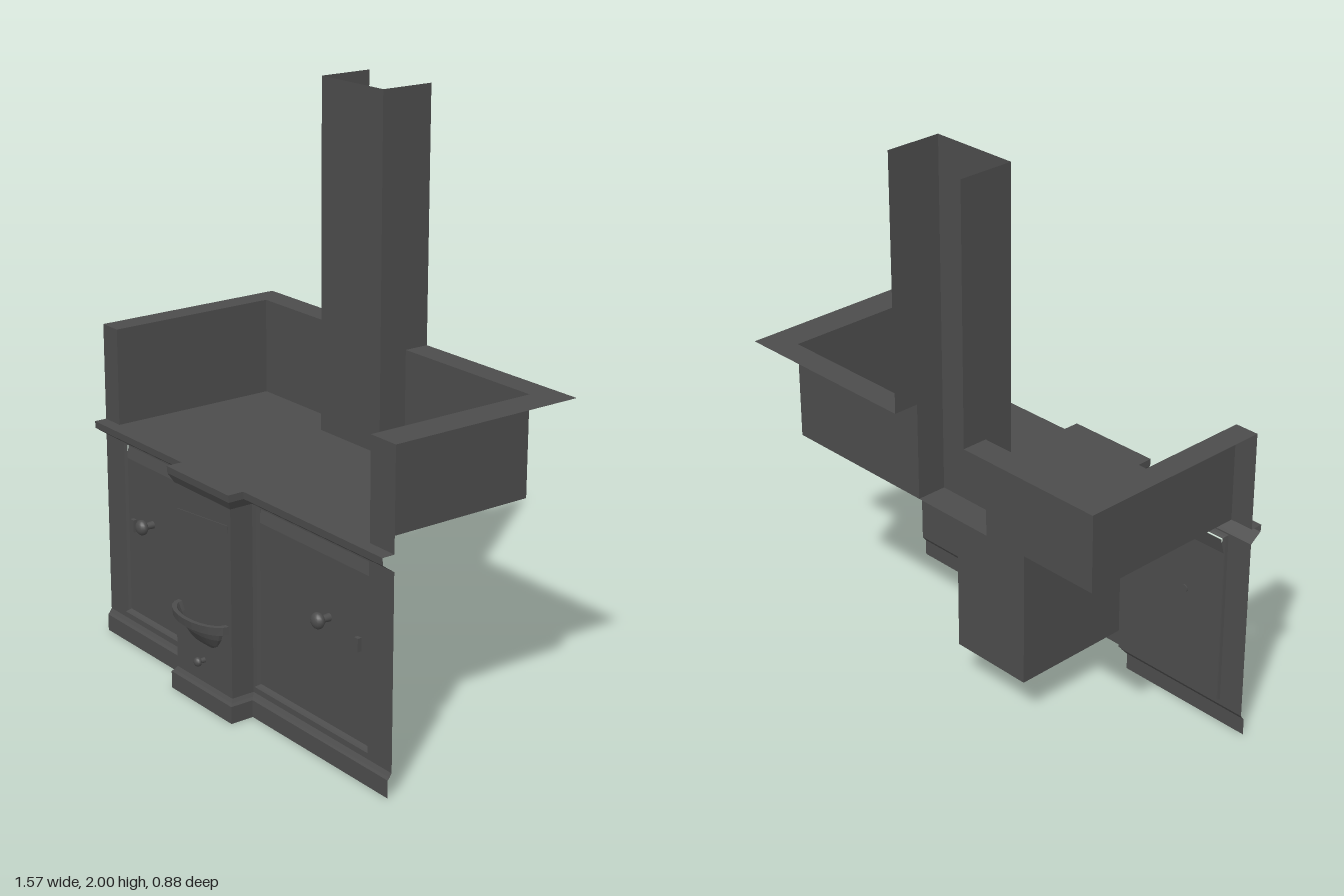
import * as THREE from 'three';

const iron = new THREE.MeshStandardMaterial({ color: 0x4c4c4c, side: THREE.DoubleSide });
iron.name = 'dark iron';

// Flat-shaded surface through rows of points [x, y, z]
function loft(rows) {
  const pos = [];
  for (let r = 0; r + 1 < rows.length; r++) {
    for (let i = 0; i + 1 < rows[r].length; i++) {
      const a = rows[r][i], b = rows[r][i + 1], c = rows[r + 1][i + 1], d = rows[r + 1][i];
      pos.push(...a, ...b, ...c, ...a, ...c, ...d);
    }
  }
  const g = new THREE.BufferGeometry();
  g.setAttribute('position', new THREE.Float32BufferAttribute(pos, 3));
  g.computeVertexNormals();
  return g;
}

const L = -0.24, R = 0.075, MID = (L + R) / 2;   // chimney and column sides
const W = 0.785, IL = -0.7, IR = 0.67;           // outer half width, tray walls
const FZ = 0.275, CZ = 0.36, BZ = -0.35, RZ = -0.44, HZ = -0.243;
const TOP = 0.79, RIM = 1.13;

export function createModel() {
  const group = new THREE.Group();
  const add = (name, geo, x = 0, y = 0, z = 0) => {
    const m = new THREE.Mesh(geo, iron);
    m.name = name;
    m.position.set(x, y, z);
    group.add(m);
    return m;
  };

  // Horizontal outline of the front, stepping out around the column
  const plan = (y, side, main, centre) => [
    [-W, y, main], [L - side, y, main], [L - side, y, centre],
    [R + side, y, centre], [R + side, y, main], [W, y, main],
  ];

  // Plinth, column and flared ledge
  add('plinth', loft([
    plan(0, 0.015, 0.29, 0.375), plan(0.06, 0.015, 0.29, 0.375),
    plan(0.068, 0.008, 0.283, 0.368), plan(0.08, 0, FZ, CZ),
  ]));
  const column = (y) => [[L, y, FZ], [L, y, CZ], [R, y, CZ], [R, y, FZ]];
  add('column', loft([column(0.08), column(0.735)]));
  add('ledge', loft([
    plan(0.735, 0, FZ, CZ), plan(0.765, 0.015, 0.318, 0.376),
    plan(TOP, 0.015, 0.32, 0.378), plan(TOP, 0.015, FZ, FZ),
  ]));

  // Door frames, bevelled reveals and recessed doors
  const doors = [
    { name: 'right', x0: -W, x1: L, d0: -0.692, d1: -0.246, knob: -0.535, key: -0.645 },
    { name: 'left', x0: R, x1: W, d0: 0.081, d1: 0.668, knob: 0.45, key: 0.6 },
  ];
  const b0 = 0.1, b1 = 0.73;
  const rect = (x0, x1, y0, y1) => [[x0, y0], [x1, y0], [x1, y1], [x0, y1], [x0, y0]];
  for (const d of doors) {
    const frame = new THREE.Shape(rect(d.x0, d.x1, 0.08, 0.735).map(p => new THREE.Vector2(...p)));
    frame.holes.push(new THREE.Path(rect(d.d0, d.d1, b0, b1).map(p => new THREE.Vector2(...p))));
    add(d.name + 'DoorFrame', new THREE.ShapeGeometry(frame), 0, 0, FZ);

    const ring = (inset, z) => rect(d.d0 + inset, d.d1 - inset, b0 + inset, b1 - inset).map(p => [...p, z]);
    add(d.name + 'DoorReveal', loft([ring(0, FZ), ring(0.003, 0.265), ring(0.008, 0.255)]));

    const row = (y, z) => [[d.d0, y, z], [d.d1, y, z]];
    add(d.name + 'Door', loft([row(b0, 0.255), row(0.67, 0.255), row(0.728, 0.24)]));

    // Round knob on a stem, with a small keyhole plate
    const stem = add(d.name + 'KnobStem', new THREE.CylinderGeometry(0.01, 0.014, 0.05, 12), d.knob, 0.47, 0.275);
    stem.rotation.x = Math.PI / 2;
    const knob = add(d.name + 'Knob', new THREE.SphereGeometry(0.027, 16, 10), d.knob, 0.47, 0.3);
    knob.scale.z = 0.75;
    add(d.name + 'KeyPlate', new THREE.BoxGeometry(0.018, 0.045, 0.014), d.key, 0.435, 0.262);
  }

  // Half-round basin with a thick rim on the column
  const arc = (y, rx, rz) => Array.from({ length: 13 }, (_, i) => {
    const a = Math.PI * (1 - i / 12);
    return [MID + rx * Math.cos(a), y, CZ + rz * Math.sin(a)];
  });
  add('basinRim', loft([
    arc(0.3, 0.112, 0.05), arc(0.3, 0.143, 0.074), arc(0.328, 0.143, 0.079),
    arc(0.328, 0.125, 0.064), arc(0.3, 0.11, 0.05),
  ]));
  add('basinBowl', loft([
    arc(0.3, 0.112, 0.05), arc(0.265, 0.1, 0.036), arc(0.235, 0.078, 0.016),
    arc(0.22, 0.05, 0.003), arc(0.22, 0, 0),
  ]));
  const tapStem = add('tapStem', new THREE.CylinderGeometry(0.007, 0.01, 0.03, 10), MID, 0.16, 0.37);
  tapStem.rotation.x = Math.PI / 2;
  const tap = add('tapKnob', new THREE.SphereGeometry(0.016, 12, 8), MID, 0.16, 0.386);
  tap.scale.z = 0.8;

  // Slim tapering trim near the top of the column
  const wedge = new THREE.Shape([[-0.225, 0.65], [0.062, 0.65], [0.062, 0.675]].map(p => new THREE.Vector2(...p)));
  add('columnTrim', new THREE.ExtrudeGeometry(wedge, { depth: 0.003, bevelEnabled: false }), 0, 0, CZ);

  // Firebox behind the column
  add('firebox', new THREE.BoxGeometry(R - L, 0.56, 0.455), MID, 0.44, 0.04);

  // Open-fronted hearth: floor, walls, end caps and flat rim
  add('hearthFloor', loft([
    [[IL, TOP, FZ], [IR, TOP, FZ]], [[IL, TOP, BZ], [IR, TOP, BZ]],
  ]));
  const sides = [
    { name: 'right', outer: -W, wall: IL, flue: L },
    { name: 'left', outer: W, wall: IR, flue: R },
  ];
  for (const s of sides) {
    const wall = (y) => [[s.outer, y, FZ], [s.wall, y, FZ], [s.wall, y, BZ], [s.flue, y, BZ]];
    add(s.name + 'HearthWall', loft([wall(TOP), wall(RIM)]));
    add(s.name + 'HearthRim', loft([
      wall(RIM).slice(1),
      [[s.outer, RIM, FZ], [s.outer, RIM, RZ], [s.flue, RIM, RZ]],
    ]));
  }

  // Chimney breast, open at the back and deeper above the rim
  const flue = (y, back) => [[L, y, back], [L, y, HZ], [R, y, HZ], [R, y, back]];
  add('chimneyBase', loft([flue(TOP, BZ), flue(RIM, BZ)]));
  add('chimney', loft([flue(RIM, RZ), flue(2, RZ)]));

  return group;
}
